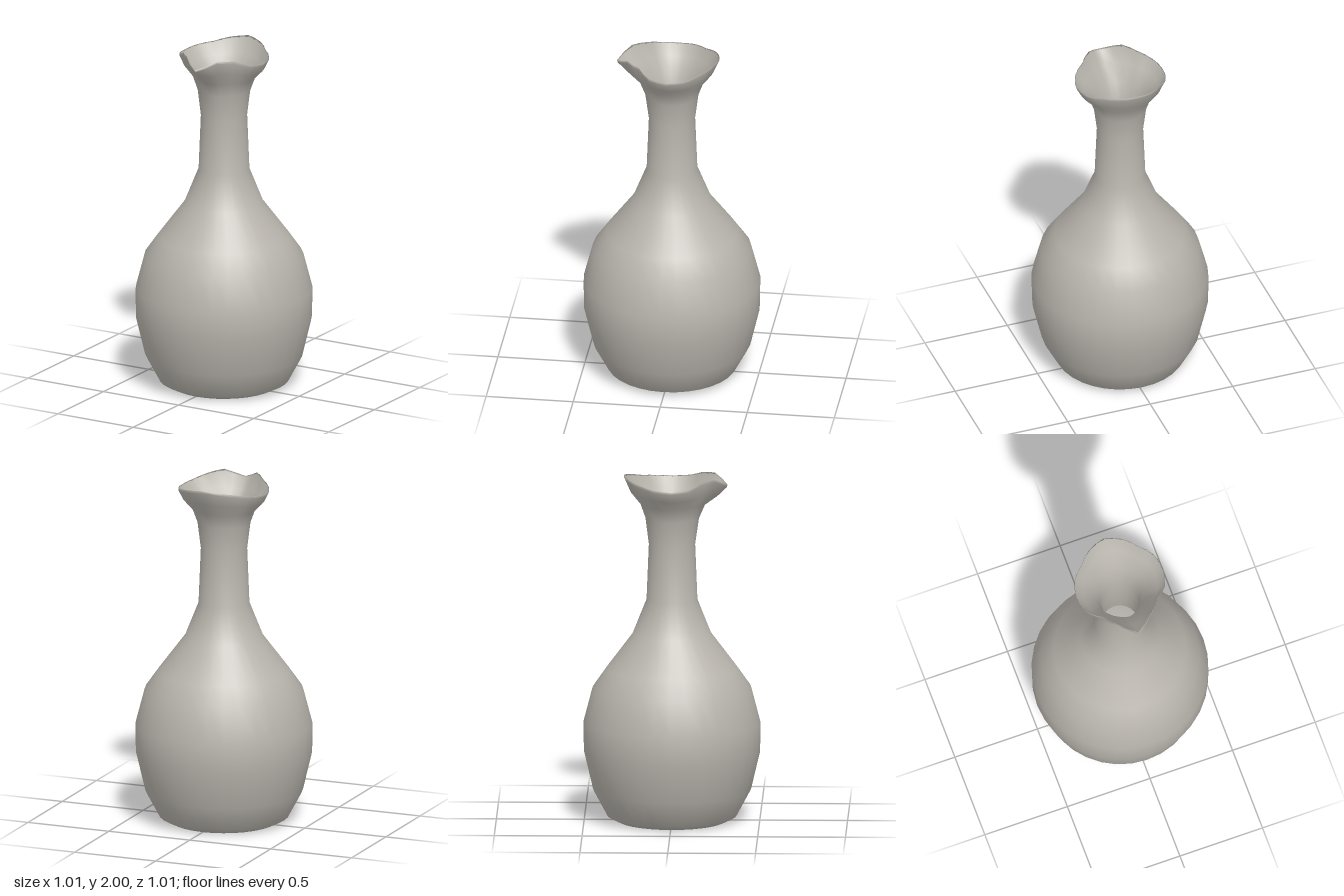
import * as THREE from 'three';
import { mergeVertices } from 'three/addons/utils/BufferGeometryUtils.js';

// Rim radius and height every 22.5 degrees, from the front spout round to the back
const RIM_R = [0.316, 0.263, 0.236, 0.257, 0.261, 0.26, 0.244, 0.259, 0.273];
const RIM_Y = [1.945, 1.995, 1.985, 1.955, 1.945, 1.953, 1.965, 1.985, 2.0];
const RIM_MEAN = 1.965;

function sample(table, angle) {
  const t = Math.min(Math.abs(angle) / Math.PI, 1) * (table.length - 1);
  const i = Math.min(Math.floor(t), table.length - 2);
  return THREE.MathUtils.lerp(table[i], table[i + 1], t - i);
}

// Profile points: radius, height, how far the point follows the pinched rim
const PROFILE = [
  // outside, from the base upwards
  [0, 0, 0], [0.31, 0, 0], [0.37, 0.03, 0], [0.45, 0.18, 0], [0.502, 0.4, 0],
  [0.504, 0.57, 0], [0.452, 0.77, 0], [0.375, 0.88, 0], [0.225, 1.08, 0],
  [0.145, 1.28, 0], [0.132, 1.6, 0], [0.145, 1.75, 0.05], [0.165, 1.83, 0.15],
  [0.205, 1.89, 0.5], [0.25, 1.95, 0.96],
  // lip
  [0.26, 1.965, 1], [0.235, 1.958, 0.88],
  // inside, from the lip down to the floor
  [0.18, 1.89, 0.45], [0.135, 1.81, 0.12], [0.108, 1.65, 0], [0.105, 1.3, 0],
  [0.2, 1.06, 0], [0.345, 0.86, 0], [0.42, 0.76, 0], [0.473, 0.57, 0],
  [0.47, 0.4, 0], [0.42, 0.19, 0], [0.34, 0.06, 0], [0, 0.04, 0],
];

export function createModel() {
  const group = new THREE.Group();
  group.name = 'vase';
  const clay = new THREE.MeshStandardMaterial({ color: 0xb8b4ad });
  clay.name = 'warm grey clay';

  const segments = 32;
  let geometry = new THREE.LatheGeometry(
    PROFILE.map(([r, y]) => new THREE.Vector2(r, y)), segments);

  // Pull the upper rings towards the wavy, spouted rim
  const pos = geometry.attributes.position;
  for (let i = 0; i < pos.count; i++) {
    const [r, y, w] = PROFILE[i % PROFILE.length];
    if (w === 0) continue;
    const angle = Math.atan2(pos.getX(i), pos.getZ(i));
    const radius = THREE.MathUtils.lerp(r, sample(RIM_R, angle), w);
    const height = y + w * (sample(RIM_Y, angle) - RIM_MEAN);
    pos.setXYZ(i, radius * Math.sin(angle), height, radius * Math.cos(angle));
  }

  // Weld the seam so that shading is smooth all round
  geometry.deleteAttribute('uv');
  geometry.deleteAttribute('normal');
  geometry = mergeVertices(geometry, 1e-4);
  geometry.computeVertexNormals();

  const body = new THREE.Mesh(geometry, clay);
  body.name = 'vaseBody';
  group.add(body);
  return group;
}
